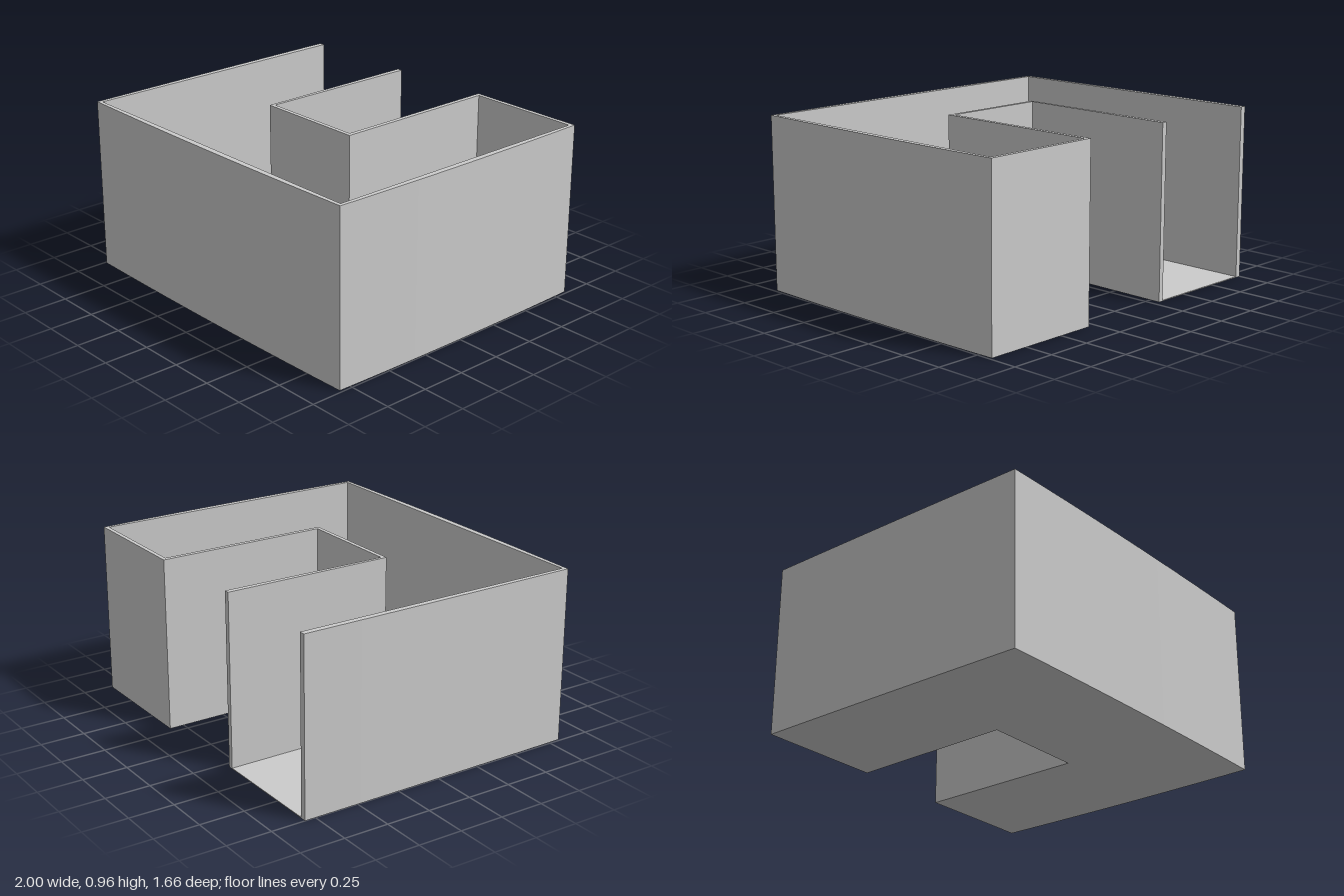
import * as THREE from 'three';

const HEIGHT = 0.965, FLOOR = 0.005;
const v = (x, z) => new THREE.Vector2(x, -z);

// Plan outline (x, z) raised from y0 by the given height
function extrudePlan(points, height, y0, name, material) {
  const geo = new THREE.ExtrudeGeometry(new THREE.Shape(points), { depth: height, bevelEnabled: false });
  geo.rotateX(-Math.PI / 2);
  geo.translate(0, y0, 0);
  const mesh = new THREE.Mesh(geo, material);
  mesh.name = name;
  return mesh;
}

// Slightly bowed edge: quadratic curve whose middle swells outward
function bowed(x0, z0, x1, z1, bx, bz, n = 10) {
  const mid = v((x0 + x1) / 2 + 2 * bx, (z0 + z1) / 2 + 2 * bz);
  return new THREE.QuadraticBezierCurve(v(x0, z0), mid, v(x1, z1)).getPoints(n);
}

export function createModel() {
  const group = new THREE.Group();
  group.name = 'uShapedTray';
  const material = new THREE.MeshStandardMaterial({ color: 0xcccccc, side: THREE.DoubleSide });

  // Outer face: from the open end round the front to the closed end and the notch
  const outer = [
    ...bowed(-1, -0.81, -0.99, 0.817, -0.003, 0),
    ...bowed(-0.99, 0.817, 0.985, 0.817, 0, 0.013).slice(1),
    ...bowed(0.985, 0.817, 0.985, -0.833, 0.012, 0).slice(1),
    v(0.295, -0.833), v(0.295, 0.13), v(-0.302, 0.13), v(-0.29, -0.81),
  ];

  // Inner face, returning from the notch to the open end
  const inner = [
    v(-0.32, -0.81), v(-0.32, 0.153), v(0.32, 0.153), v(0.32, -0.81),
    v(0.965, -0.81), v(0.965, 0.797), v(-0.967, 0.797), v(-0.967, -0.81),
  ];

  group.add(extrudePlan(outer, FLOOR, 0, 'floor', material));
  group.add(extrudePlan([...outer, ...inner], HEIGHT - FLOOR, FLOOR, 'walls', material));
  return group;
}
